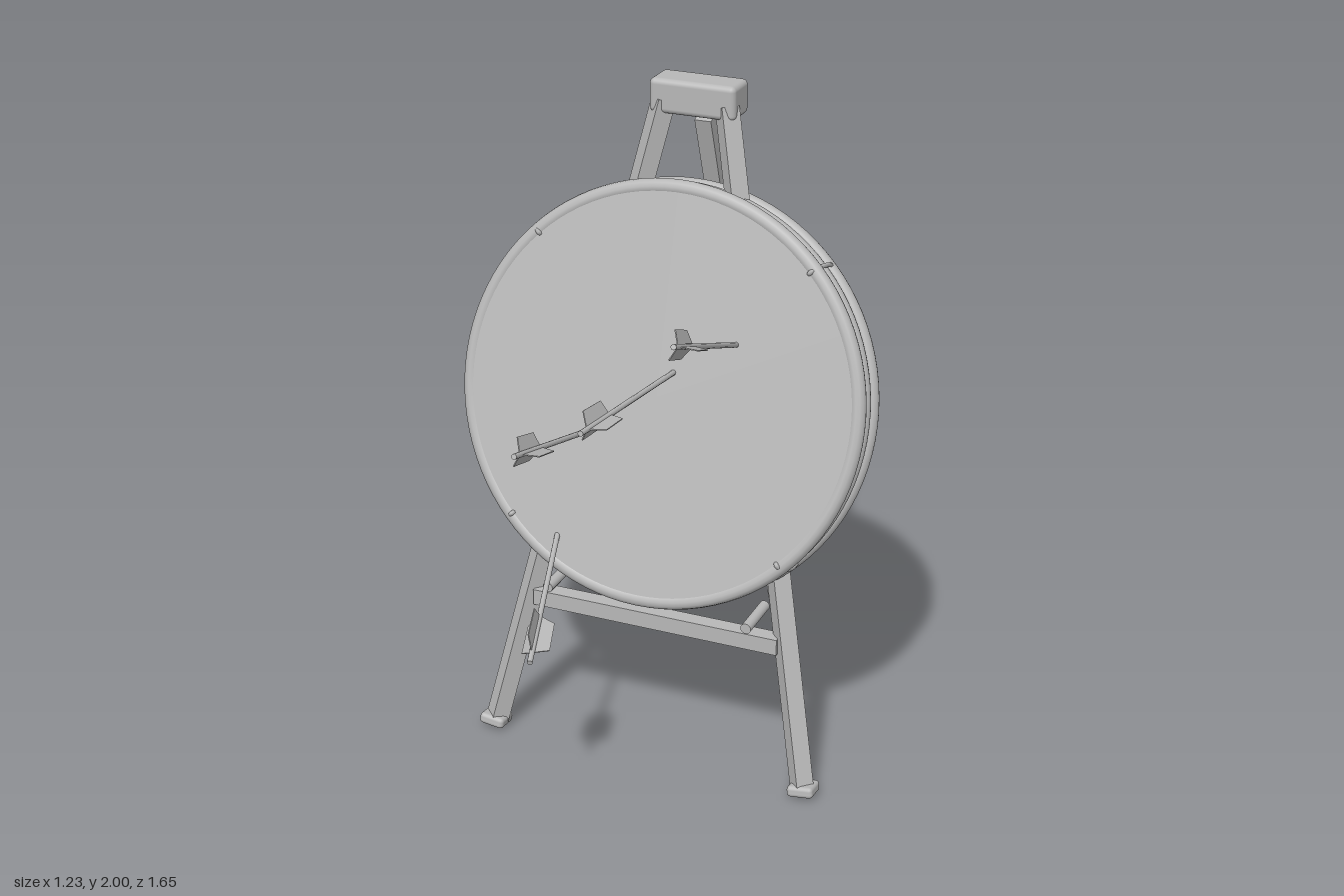
import * as THREE from 'three';
import { RoundedBoxGeometry } from 'three/addons/geometries/RoundedBoxGeometry.js';

const V = (x, y, z) => new THREE.Vector3(x, y, z);
const UP = V(0, 1, 0);

export function createModel() {
  const model = new THREE.Group();
  const grey = new THREE.MeshStandardMaterial({ color: 0xb8b8b8, side: THREE.DoubleSide });
  grey.name = 'plainGrey';

  const add = (parent, name, geometry, x = 0, y = 0, z = 0) => {
    const mesh = new THREE.Mesh(geometry, grey);
    mesh.name = name;
    mesh.position.set(x, y, z);
    parent.add(mesh);
    return mesh;
  };

  // Square beam between two points, spun about its own axis
  const beam = (name, a, b, side, spin = 0) => {
    const dir = b.clone().sub(a);
    const geometry = new THREE.BoxGeometry(side, dir.length(), side).rotateY(spin);
    const mesh = add(model, name, geometry);
    mesh.position.copy(a).lerp(b, 0.5);
    mesh.quaternion.setFromUnitVectors(UP, dir.normalize());
  };

  // Easel: top block, front legs with feet, rear leg, crossbar and pegs
  add(model, 'topBlock', new RoundedBoxGeometry(0.26, 0.1, 0.11, 3, 0.016), 0, 1.95, -0.097);
  for (const s of [1, -1]) {
    const side = s > 0 ? 'left' : 'right';
    beam(side + 'FrontLeg', V(s * 0.498, 0.025, 0.298), V(s * 0.096, 1.935, -0.073), 0.053, Math.PI / 4);
    const foot = add(model, side + 'Foot', new RoundedBoxGeometry(0.08, 0.034, 0.076, 2, 0.012), s * 0.502, 0.025, 0.3);
    foot.rotation.set(-0.12, 0, s * 0.12);
    add(model, side + 'Peg', new THREE.CylinderGeometry(0.016, 0.016, 0.15, 16).rotateX(Math.PI / 2), s * 0.315, 0.515, 0.223);
  }
  beam('rearLeg', V(0, 0.008, -0.8), V(0, 1.875, -0.15), 0.05);
  add(model, 'crossbar', new THREE.BoxGeometry(0.78, 0.05, 0.05), 0, 0.44, 0.22);

  // Leaning round target, its axis along local z
  const target = new THREE.Group();
  target.name = 'target';
  target.position.set(0, 1.133, 0.145);
  target.rotation.x = -0.27;
  model.add(target);
  add(target, 'targetCore', new THREE.CylinderGeometry(0.59, 0.59, 0.145, 96).rotateX(Math.PI / 2), 0, 0, -0.0085);
  for (const [z, radius] of [[0.045, 0.594], [-0.013, 0.588], [-0.071, 0.594]]) {
    add(target, 'rimRing', new THREE.TorusGeometry(radius, 0.023, 12, 96), 0, 0, z);
  }

  // Slightly bulging back face
  const backProfile = [[0.0001, -0.102], [0.2, -0.1], [0.4, -0.095], [0.59, -0.081]]
    .map(([r, z]) => new THREE.Vector2(r, z));
  add(target, 'targetBack', new THREE.LatheGeometry(backProfile, 96).rotateX(Math.PI / 2));

  // Four clips passing through the rim
  const clipPath = new THREE.CatmullRomCurve3([
    V(0.576, 0, 0.05), V(0.586, 0, 0.068), V(0.602, 0, 0.05), V(0.611, 0, 0.015),
    V(0.611, 0, -0.041), V(0.602, 0, -0.076), V(0.586, 0, -0.094), V(0.576, 0, -0.076),
  ]);
  for (let i = 0; i < 4; i++) {
    const clip = add(target, 'rimClip', new THREE.TubeGeometry(clipPath, 32, 0.007, 8));
    clip.rotation.z = Math.PI / 4 + i * Math.PI / 2;
  }

  // Arrows: shaft along local y, tail at the top, three swept vanes
  const vane = new THREE.Shape([
    new THREE.Vector2(0, -0.18), new THREE.Vector2(0.045, -0.166),
    new THREE.Vector2(0.047, -0.062), new THREE.Vector2(0, -0.038),
  ]);
  const vaneGeometry = new THREE.ExtrudeGeometry(vane, { depth: 0.003, bevelEnabled: false }).translate(0, 0, -0.0015);
  const arrow = (tip, tail) => {
    const dir = tail.clone().sub(tip);
    const length = dir.length() + 0.03;
    const group = new THREE.Group();
    group.name = 'arrow';
    group.position.copy(tail);
    group.quaternion.setFromUnitVectors(UP, dir.normalize());
    model.add(group);
    add(group, 'arrowShaft', new THREE.CylinderGeometry(0.008, 0.008, length, 10), 0, -length / 2, 0);
    for (let i = 0; i < 3; i++) {
      add(group, 'arrowVane', vaneGeometry).rotation.y = i * Math.PI * 2 / 3;
    }
  };
  arrow(V(0.222, 1.33, 0.165), V(0.277, 1.55, 0.725));
  arrow(V(0.043, 1.225, 0.195), V(0.041, 1.292, 0.79));
  arrow(V(-0.167, 1.04, 0.24), V(-0.14, 1.205, 0.82));
  arrow(V(-0.265, 0.713, 0.325), V(-0.125, 0.57, 0.795));

  return model;
}
